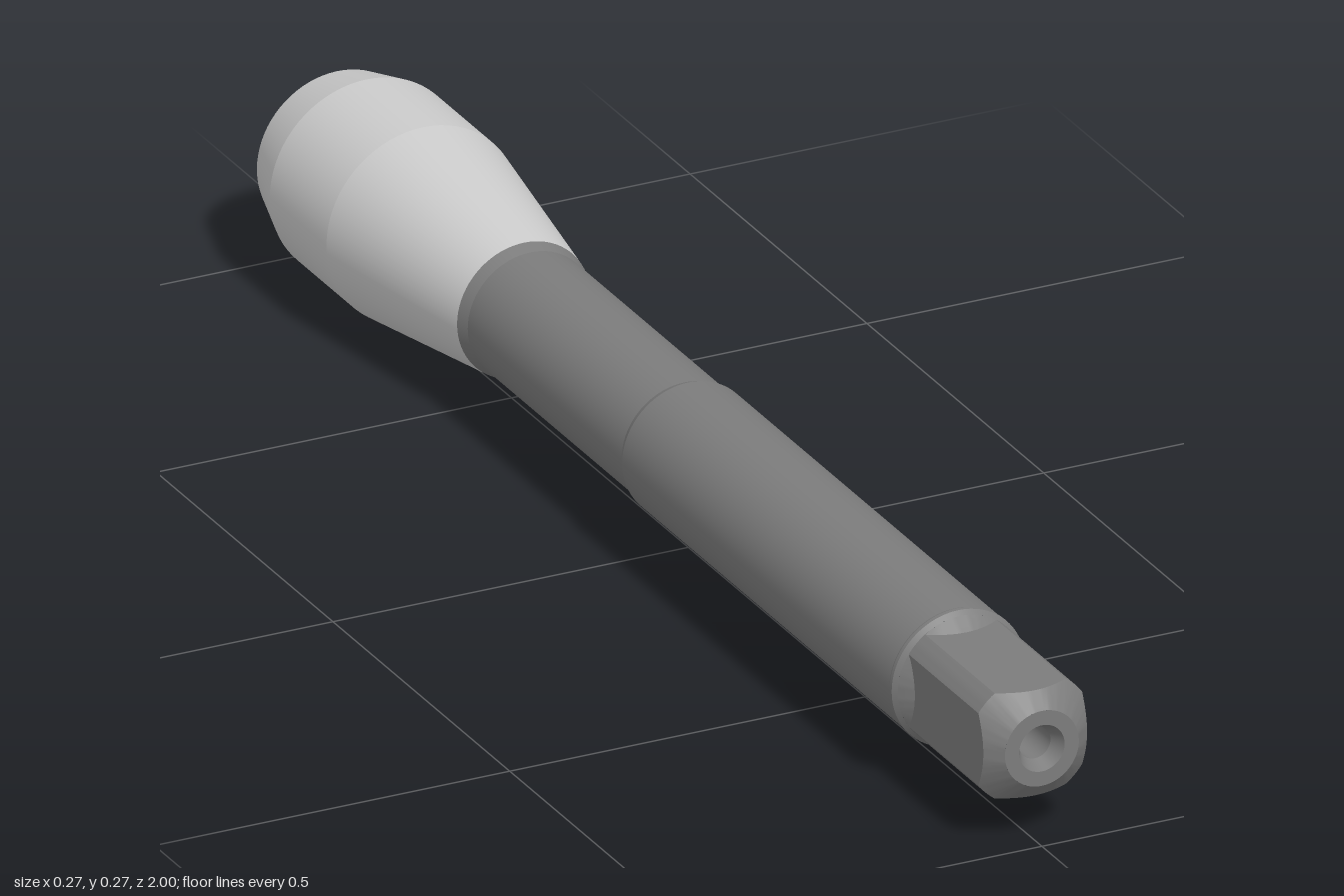
import * as THREE from 'three';
import { mergeGeometries, toCreasedNormals } from 'three/addons/utils/BufferGeometryUtils.js';

const AXIS = 0.136;          // height of the long axis
const FLAT = 0.073;          // half width across the square flats
const CORNER = 0.0885;       // radius of the rounded square corners

// Turned part along z from [radius, z] points, with a sharp edge at every point
function turned(points) {
  const bands = [];
  for (let i = 0; i + 1 < points.length; i++) {
    const pair = [points[i], points[i + 1]].map(([r, z]) => new THREE.Vector2(r, z));
    bands.push(new THREE.LatheGeometry(pair, 72));
  }
  return mergeGeometries(bands).rotateX(Math.PI / 2);
}

// Square with rounded corners, trimmed by a cone at each end
function squareDrive() {
  const half = Math.acos(FLAT / CORNER);
  const angles = [];
  for (let q = 0; q < 4; q++) {
    const mid = q * Math.PI / 2;
    for (let i = 0; i < 16; i++) angles.push(mid - half + 2 * half * i / 16);
    for (let i = 0; i < 6; i++) angles.push(mid + half + (Math.PI / 2 - 2 * half) * i / 6);
  }
  const radius = a => Math.min(CORNER, FLAT / Math.max(Math.abs(Math.cos(a)), Math.abs(Math.sin(a))));
  const rings = [
    () => [CORNER, 0.77],
    a => [radius(a), 0.772 + (CORNER - radius(a))],
    a => [radius(a), 1 - (radius(a) - 0.052) * 0.9],
    () => [0.052, 1],
  ];
  const n = angles.length, pos = [], index = [];
  rings.forEach((ring, k) => angles.forEach((a, i) => {
    const [r, z] = ring(a);
    pos.push(r * Math.cos(a), r * Math.sin(a), z);
    if (k === rings.length - 1) return;
    const p = k * n + i, q = k * n + (i + 1) % n;
    index.push(p, q, q + n, p, q + n, p + n);
  }));
  const geo = new THREE.BufferGeometry();
  geo.setAttribute('position', new THREE.Float32BufferAttribute(pos, 3));
  geo.setIndex(index);
  return toCreasedNormals(geo, 0.35);
}

export function createModel() {
  const model = new THREE.Group();
  model.name = 'driverTool';
  const dark = new THREE.MeshStandardMaterial({ color: 0x7c7c7c });
  const light = new THREE.MeshStandardMaterial({ color: 0xcccccc });

  const add = (name, geometry, material) => {
    const mesh = new THREE.Mesh(geometry, material);
    mesh.name = name;
    mesh.position.y = AXIS;
    model.add(mesh);
  };

  // Square end
  add('squareDrive', squareDrive(), dark);

  // Stepped shaft with a small flare against the head
  add('shaft', turned([
    [0.094, -0.465], [0.088, -0.447], [0.088, -0.012], [0.093, 0],
    [0.093, 0.755], [0.094, 0.758], [0.094, 0.764], [CORNER, 0.77],
  ]), dark);

  // Front face, countersink and bore
  add('shaftBore', turned([
    [0.052, 1], [0.032, 1], [0.022, 0.98], [0.022, -0.465],
  ]), dark);

  // Tapered head with its own bore and rear countersink
  add('head', turned([
    [0.022, -0.98], [0.032, -1], [0.106, -1], [0.113, -0.993], [0.136, -0.91],
    [0.136, -0.75], [0.094, -0.465], [0.022, -0.465], [0.022, -0.98],
  ]), light);

  return model;
}
